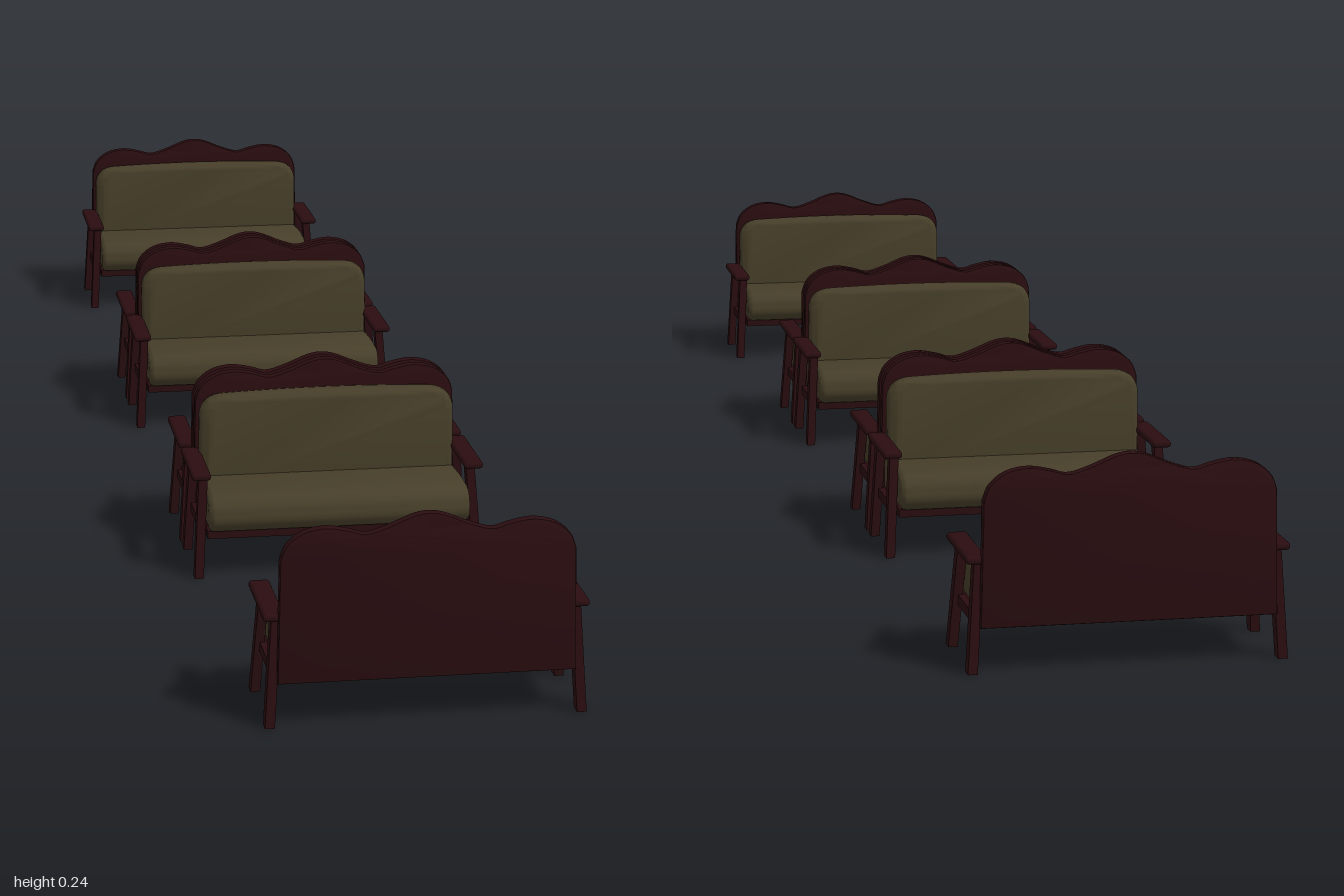
import * as THREE from 'three';
import { toCreasedNormals } from 'three/addons/utils/BufferGeometryUtils.js';
import { RoundedBoxGeometry } from 'three/addons/geometries/RoundedBoxGeometry.js';

const wood = new THREE.MeshStandardMaterial({ color: 0x2a0d10 });
wood.name = 'darkWood';
const fabric = new THREE.MeshStandardMaterial({ color: 0x463e29 });
fabric.name = 'oliveFabric';

function add(group, name, geometry, material, x = 0, y = 0, z = 0) {
  const mesh = new THREE.Mesh(geometry, material);
  mesh.name = name;
  mesh.position.set(x, y, z);
  group.add(mesh);
  return mesh;
}

// Extrusion with a rounded edge; the outline is inset so the bevel stays inside it
function padded(shape, depth, bevel, segments = 4) {
  const g = new THREE.ExtrudeGeometry(shape, {
    depth: depth - 2 * bevel, bevelEnabled: true, bevelThickness: bevel,
    bevelSize: bevel, bevelOffset: -bevel, bevelSegments: segments, curveSegments: 10,
  });
  g.translate(0, 0, bevel);
  return toCreasedNormals(g, 0.7);
}

// Wooden back with a wavy, three-humped crest
function backShape() {
  const half = [[0, 0.243], [0.018, 0.24], [0.045, 0.229], [0.07, 0.222], [0.09, 0.227],
    [0.115, 0.231], [0.14, 0.226], [0.158, 0.212], [0.165, 0.195]];
  const right = half.map(([x, y]) => new THREE.Vector2(x, y));
  const left = half.slice(1).reverse().map(([x, y]) => new THREE.Vector2(-x, y));
  const s = new THREE.Shape();
  s.moveTo(0.168, 0.052);
  s.lineTo(-0.168, 0.052);
  s.lineTo(-0.165, 0.195);
  const curve = new THREE.SplineCurve([...left, ...right]);
  curve.getPoints(56).slice(1).forEach((p) => s.lineTo(p.x, p.y));
  s.closePath();
  return s;
}

// Back cushion outline with round upper corners
function cushionShape() {
  const s = new THREE.Shape();
  s.moveTo(-0.162, 0.07);
  s.lineTo(0.162, 0.07);
  s.lineTo(0.162, 0.178);
  s.quadraticCurveTo(0.16, 0.204, 0.132, 0.206);
  s.quadraticCurveTo(0, 0.212, -0.132, 0.206);
  s.quadraticCurveTo(-0.16, 0.204, -0.162, 0.178);
  s.closePath();
  return s;
}

// Seat cushion side profile (x = depth, y = height) with a rolled front
function seatShape() {
  const s = new THREE.Shape();
  s.moveTo(0.012, 0.06);
  s.lineTo(0.134, 0.06);
  s.bezierCurveTo(0.152, 0.062, 0.153, 0.1, 0.126, 0.105);
  s.quadraticCurveTo(0.08, 0.11, 0.012, 0.1);
  s.closePath();
  return s;
}

const backGeometry = padded(backShape(), 0.014, 0.003, 2);
const cushionGeometry = padded(cushionShape(), 0.03, 0.011);
const seatGeometry = padded(seatShape(), 0.328, 0.008);
seatGeometry.rotateY(-Math.PI / 2);
seatGeometry.translate(0.164, 0, 0);
const armGeometry = new RoundedBoxGeometry(0.024, 0.009, 0.122, 3, 0.004);

// Square leg leaning from its foot to its top
function legGeometry(footX, footZ, topX, topZ, height) {
  const g = new THREE.BoxGeometry(0.011, height, 0.016);
  const p = g.attributes.position;
  for (let i = 0; i < p.count; i++) {
    const y = p.getY(i) + height / 2;
    const t = y / height;
    p.setXYZ(i, p.getX(i) + footX + (topX - footX) * t, y, p.getZ(i) + footZ + (topZ - footZ) * t);
  }
  g.computeVertexNormals();
  return g;
}

function createBench() {
  const bench = new THREE.Group();
  add(bench, 'backPanel', backGeometry, wood);
  const back = add(bench, 'backCushion', cushionGeometry, fabric, 0, 0, 0.012);
  back.scale.z = 1.0;
  add(bench, 'seatCushion', seatGeometry, fabric);
  add(bench, 'seatFrame', new THREE.BoxGeometry(0.33, 0.01, 0.128), wood, 0, 0.056, 0.071);
  for (const side of [-1, 1]) {
    const name = side > 0 ? 'left' : 'right';
    add(bench, name + 'Armrest', armGeometry, wood, side * 0.171, 0.128, 0.066);
    add(bench, name + 'FrontLeg', legGeometry(side * 0.176, 0.128, side * 0.168, 0.11, 0.126), wood);
    add(bench, name + 'BackLeg', legGeometry(side * 0.176, 0.012, side * 0.168, 0.018, 0.126), wood);
    // Rail under the arm joining the two legs
    add(bench, name + 'SideRail', new THREE.BoxGeometry(0.008, 0.012, 0.1), wood, side * 0.168, 0.057, 0.068);
  }
  return bench;
}

export function createModel() {
  const model = new THREE.Group();
  model.name = 'benchRow';
  // [x offset, z of the back, facing direction]
  const places = [[0.006, 1, -1], [-0.008, 0.345, 1], [-0.008, 0.335, -1],
    [-0.008, -0.32, 1], [-0.008, -0.33, -1], [-0.008, -1, 1]];
  places.forEach(([x, z, facing], i) => {
    const bench = createBench();
    bench.name = 'bench' + (i + 1);
    bench.position.set(x, 0, z);
    bench.rotation.y = facing > 0 ? 0 : Math.PI;
    model.add(bench);
  });
  return model;
}
